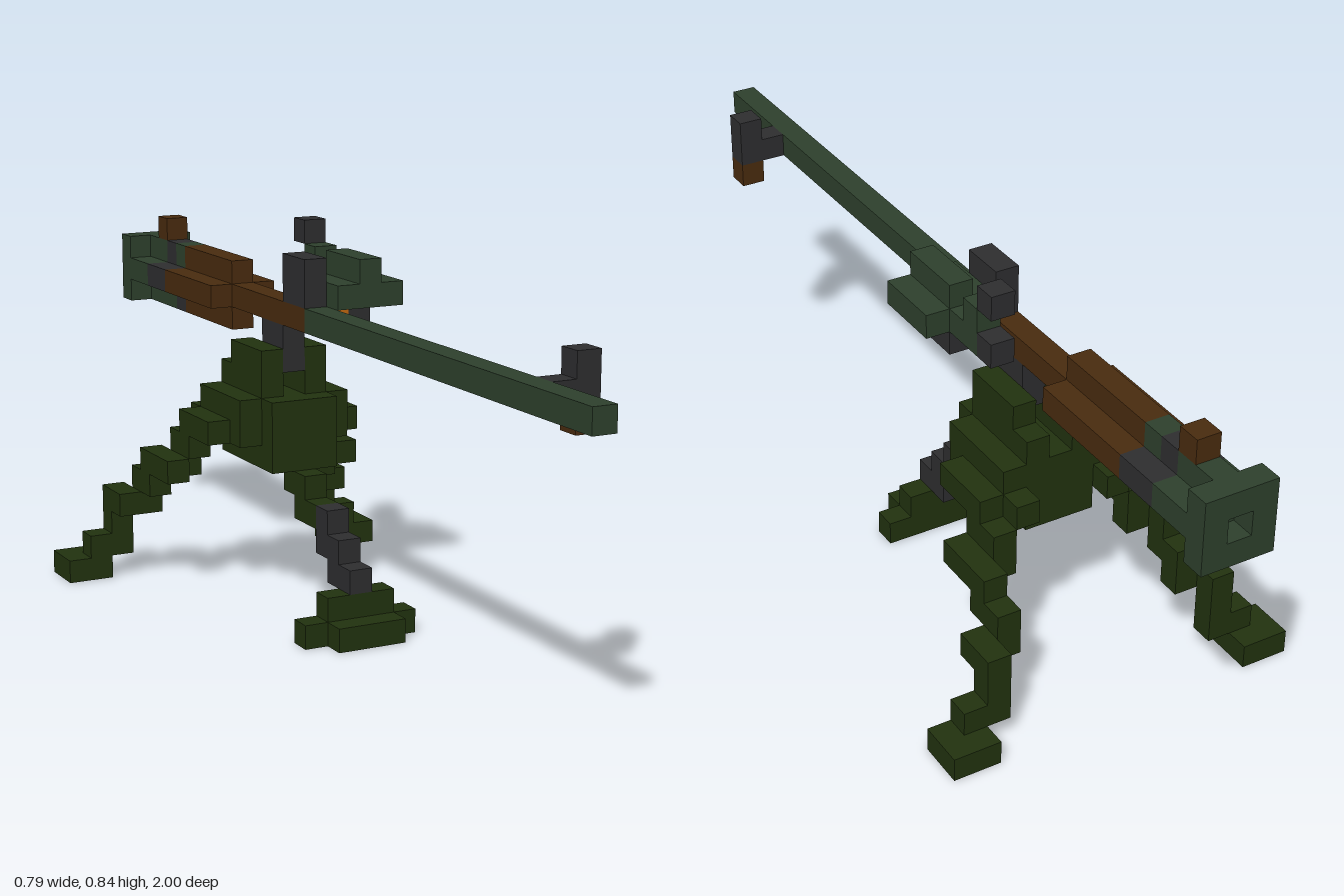
import * as THREE from 'three';

const U = 2 / 38; // edge of one block

const paint = (name, color) => {
  const m = new THREE.MeshStandardMaterial({ color });
  m.name = name;
  return m;
};

export function createModel() {
  const model = new THREE.Group();
  model.name = 'tripodGun';
  const olive = paint('olive', 0x22330f);
  const gunGreen = paint('gunGreen', 0x2e412d);
  const iron = paint('iron', 0x2e2e30);
  const wood = paint('wood', 0x4a2c0f);
  const orange = paint('orange', 0xc46a10);

  // Block ranges, inclusive: x counts from the centre, y up from the ground,
  // z counts backwards from the muzzle.
  function part(name, mat, boxes, mirror = false) {
    const g = new THREE.Group();
    g.name = name;
    for (const [x0, x1, y0, y1, z0, z1] of boxes) {
      const geo = new THREE.BoxGeometry((x1 - x0 + 1) * U, (y1 - y0 + 1) * U, (z1 - z0 + 1) * U);
      for (const s of mirror ? [1, -1] : [1]) {
        const mesh = new THREE.Mesh(geo, mat);
        mesh.name = name + 'Block';
        mesh.position.set(s * (x0 + x1) / 2 * U, (y0 + y1 + 1) / 2 * U, 1 - (z0 + z1 + 1) / 2 * U);
        g.add(mesh);
      }
    }
    model.add(g);
  }

  // Plus-shaped ring of four bars around the bore
  const plus = (z0, z1) => [
    [0, 0, 13, 13, z0, z1], [0, 0, 11, 11, z0, z1],
    [-1, -1, 12, 12, z0, z1], [1, 1, 12, 12, z0, z1],
  ];

  // Barrel and rear tube
  part('barrel', gunGreen, [[0, 0, 12, 12, 0, 20]]);
  part('woodGrip', wood, [[0, 0, 12, 12, 21, 27]]);
  part('woodTube', wood, plus(28, 32));
  part('tubeCore', iron, [[0, 0, 12, 12, 28, 35]]);
  part('ironBand', iron, [
    [-1, -1, 12, 12, 33, 34], [1, 1, 12, 12, 33, 34],
    [0, 0, 13, 13, 34, 34], [0, 0, 11, 11, 33, 33],
  ]);
  part('greenBand', gunGreen, [[0, 0, 13, 13, 33, 33], [0, 0, 11, 11, 34, 34]]);
  part('rearTube', gunGreen, [...plus(35, 36), [0, 0, 12, 12, 36, 36]]);
  part('rearFlare', gunGreen, [
    [-1, 1, 13, 13, 37, 37], [-1, 1, 11, 11, 37, 37],
    [-1, -1, 12, 12, 37, 37], [1, 1, 12, 12, 37, 37],
  ]);
  part('rearPeg', wood, [[0, 0, 14, 14, 35, 35]]);

  // Front bracket beside the barrel
  part('frontBracket', iron, [[1, 2, 12, 12, 4, 4], [2, 2, 13, 13, 4, 4]]);
  part('frontKnob', wood, [[2, 2, 11, 11, 4, 4]]);

  // Receiver and sight
  part('receiver', iron, [[0, 0, 13, 14, 21, 22]]);
  part('sightMount', orange, [[1, 1, 12, 12, 21, 22]]);
  part('sightBase', iron, [[2, 2, 12, 12, 21, 22]]);
  part('sightBody', gunGreen, [
    [1, 3, 13, 13, 20, 22], [2, 2, 14, 14, 20, 22],
    [2, 2, 13, 13, 23, 24], [2, 2, 14, 14, 24, 24],
  ]);
  part('eyepieces', iron, [[2, 2, 15, 15, 25, 25], [2, 2, 13, 13, 25, 25]]);

  // Cradle and tripod head
  part('pivot', iron, [[0, 0, 10, 11, 23, 24]]);
  part('cradleArm', olive, [[1, 1, 10, 10, 23, 25], [1, 1, 9, 9, 23, 26]], true);
  part('tripodHead', olive, [[-1, 1, 6, 8, 22, 26]]);
  part('headShoulder', olive, [[2, 2, 8, 8, 23, 26], [2, 2, 7, 7, 23, 27], [3, 3, 7, 7, 24, 26]], true);

  // Rear legs, stepping outwards and back
  part('rearLeg', olive, [
    [3, 3, 6, 6, 26, 27],
    [3, 3, 5, 5, 27, 27], [4, 4, 5, 5, 26, 28],
    [4, 4, 4, 4, 28, 29],
    [4, 4, 3, 3, 29, 29], [5, 5, 3, 3, 29, 30],
    [5, 5, 2, 2, 30, 30],
    [5, 6, 1, 1, 30, 30],
    [6, 7, 0, 0, 30, 31],
  ], true);

  // Front leg and foot
  part('frontLegTop', olive, [[0, 0, 5, 5, 21, 22], [0, 0, 4, 4, 20, 21]]);
  part('frontLegStrut', iron, [[0, 0, 4, 4, 19, 19], [0, 0, 3, 3, 18, 19], [0, 0, 2, 2, 17, 18]]);
  part('frontFoot', olive, [[-1, 1, 1, 1, 17, 17], [-2, 2, 0, 0, 17, 17], [-1, 1, 0, 0, 16, 16]]);

  return model;
}
